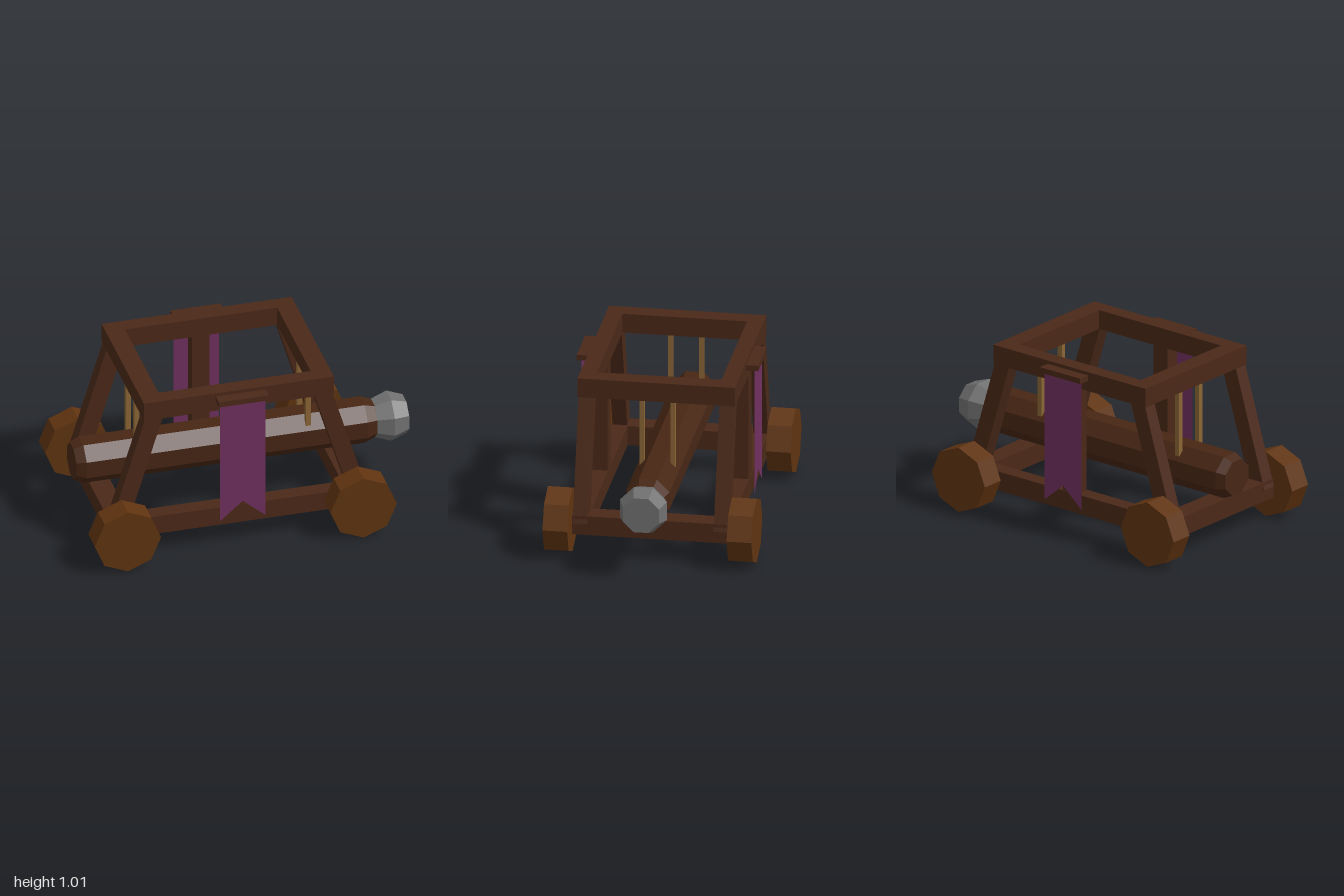
import * as THREE from 'three';

const mat = (color, side = THREE.FrontSide) =>
  new THREE.MeshStandardMaterial({ color, flatShading: true, side });

export function createModel() {
  const model = new THREE.Group();
  const wood = mat(0x4a2818), logWood = mat(0x472614), wheelWood = mat(0x5f3310);
  const rope = mat(0x8a6535), stone = mat(0x707070);
  const cloth = mat(0x70305f, THREE.DoubleSide);
  const midX = -0.105; // centre of the frame along x

  const add = (name, geometry, material, x = 0, y = 0, z = 0) => {
    const mesh = new THREE.Mesh(geometry, material);
    mesh.name = name;
    mesh.position.set(x, y, z);
    model.add(mesh);
    return mesh;
  };
  // Box given by its extents
  const box = (name, material, x0, x1, y0, y1, z0, z1) =>
    add(name, new THREE.BoxGeometry(x1 - x0, y1 - y0, z1 - z0), material,
      (x0 + x1) / 2, (y0 + y1) / 2, (z0 + z1) / 2);

  // Rectangular frame: two long rails and two cross beams
  const frame = (name, halfX, beam, y0, y1) => {
    for (const s of [-1, 1]) {
      const z = s * 0.4075, x = midX + s * (halfX - beam / 2);
      box(name + 'Rail', wood, midX - halfX, midX + halfX, y0, y1, z - 0.0475, z + 0.0475);
      box(name + 'CrossBeam', wood, x - beam / 2, x + beam / 2, y0, y1, -0.36, 0.36);
    }
  };
  frame('lower', 0.76, 0.125, 0.13, 0.245);
  frame('upper', 0.5625, 0.112, 0.895, 1.01);

  // Leaning corner posts: boxes sheared along x
  const leaningPost = (s) => {
    const g = new THREE.BoxGeometry(0.105, 0.75, 0.085);
    const p = g.attributes.position;
    for (let i = 0; i < p.count; i++) p.setX(i, p.getX(i) - s * 0.305 * p.getY(i));
    g.computeVertexNormals();
    return g;
  };

  // Banner with a swallow-tail cut
  const flag = new THREE.Shape();
  [[-0.135, 0.965], [-0.135, 0.18], [0, 0.295], [0.135, 0.18], [0.135, 0.965]]
    .forEach(([x, y], i) => (i ? flag.lineTo(x, y) : flag.moveTo(x, y)));
  flag.closePath();
  const flagGeometry = new THREE.ShapeGeometry(flag);

  const wheelGeometry = new THREE.CylinderGeometry(0.196, 0.196, 0.143, 8).rotateX(Math.PI / 2);

  for (const sz of [-1, 1]) {
    for (const sx of [-1, 1]) {
      add('cornerPost', leaningPost(sx), wood, midX + sx * 0.601, 0.575, sz * 0.4075);
      add('wheel', wheelGeometry, wheelWood, midX + sx * 0.698, 0.196, sz * 0.5325);
      // Ropes that carry the ram
      const x = midX + sx * 0.508, z = sz * 0.09;
      box('rope', rope, x - 0.015, x + 0.015, 0.485, 0.91, z - 0.014, z + 0.014);
    }
    box('middlePost', wood, -0.157, -0.053, 0.2, 0.94, sz * 0.4075 - 0.0425, sz * 0.4075 + 0.0425);
    box('bannerBar', wood, -0.243, 0.055, 0.957, 0.99, sz * 0.485 - 0.04, sz * 0.485 + 0.04);
    add('banner', flagGeometry, cloth, -0.095, 0, sz * 0.5);
  }

  // Eight-sided solid along x with a flat side on top; profile is [x, half height]
  const octagonSolid = (name, profile, material) => {
    const k = 1 / Math.cos(Math.PI / 8);
    const points = profile.map(([x, r]) => new THREE.Vector2(r * k, x));
    const g = new THREE.LatheGeometry(points, 8, Math.PI / 8).rotateZ(-Math.PI / 2);
    return add(name, g, material, 0, 0.41, 0);
  };
  octagonSolid('ramLog',
    [[-0.97, 0], [-0.97, 0.102], [-0.915, 0.125], [0.75, 0.125], [0.82, 0.1], [0.82, 0]], logWood);
  octagonSolid('ramHead',
    [[0.813, 0], [0.813, 0.104], [0.907, 0.135], [1, 0.104], [1, 0]], stone);

  return model;
}
